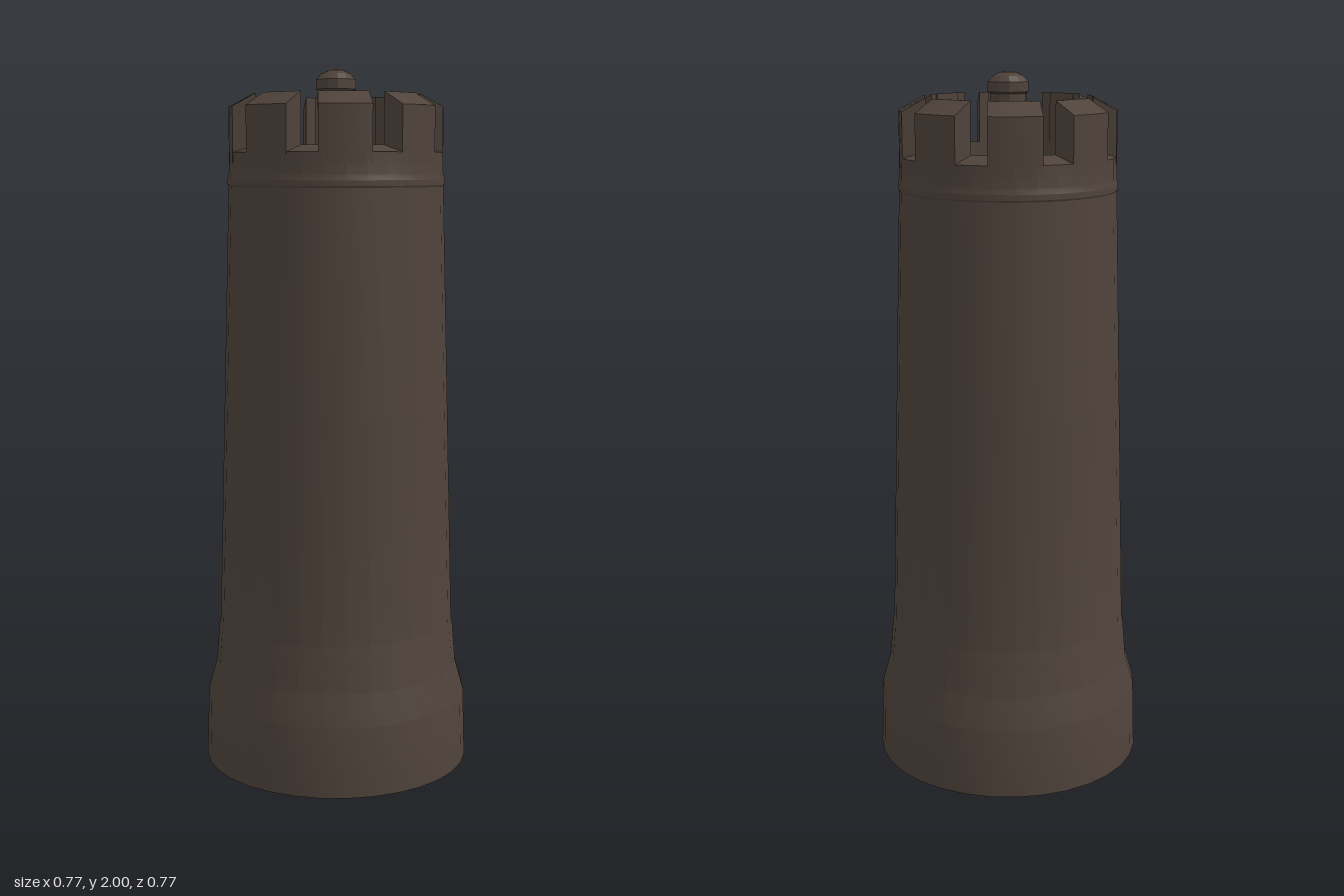
import * as THREE from 'three';
import { toCreasedNormals } from 'three/addons/utils/BufferGeometryUtils.js';

const MERLONS = 8;
const INNER = 0.237, OUTER = 0.303, FLOOR = 1.68;

const v = (x, y) => new THREE.Vector2(x, y);

function lathe(points, segments) {
  const g = new THREE.LatheGeometry(points.map(([r, y]) => v(r, y)), segments);
  return toCreasedNormals(g, 0.25);
}

// One battlement block: curved outer face, inner pilaster, top falling outwards
function merlonGeometry() {
  const shape = new THREE.Shape();
  const half = 0.073, innerHalf = 0.069, tab = 0.042;
  shape.moveTo(-innerHalf, 0.228);
  shape.lineTo(-tab, 0.236);
  shape.lineTo(-tab, 0.23);
  shape.lineTo(tab, 0.23);
  shape.lineTo(tab, 0.236);
  shape.lineTo(innerHalf, 0.228);
  const a = Math.asin(half / OUTER);
  for (let i = 0; i <= 6; i++) {
    const t = a - (2 * a * i) / 6;
    shape.lineTo(OUTER * Math.sin(t), OUTER * Math.cos(t));
  }
  shape.closePath();
  const bottom = 1.74, top = 1.932;
  const g = new THREE.ExtrudeGeometry(shape, { depth: top - bottom, bevelEnabled: false });
  g.rotateX(-Math.PI / 2);
  g.translate(0, bottom, 0);
  const p = g.attributes.position;
  for (let i = 0; i < p.count; i++) {
    if (p.getY(i) < top - 0.01) continue;
    const r = Math.hypot(p.getX(i), p.getZ(i));
    p.setY(i, top - 0.036 * Math.max(0, (r - 0.238) / (OUTER - 0.238)));
  }
  return toCreasedNormals(g, 0.25);
}

export function createModel() {
  const model = new THREE.Group();
  model.name = 'roundTower';
  const stone = new THREE.MeshStandardMaterial({ color: 0x4f433b, side: THREE.DoubleSide });
  stone.name = 'dark stone';

  const add = (name, geometry, parent = model) => {
    const mesh = new THREE.Mesh(geometry, stone);
    mesh.name = name;
    parent.add(mesh);
    return mesh;
  };

  // Hollow tapering shell with a flared plinth, open underneath
  add('towerShell', lathe([
    [0.385, 0], [0.379, 0.2], [0.354, 0.29], [0.345, 0.4], [0.341, 0.42],
    [0.323, 1.05], [0.305, 1.675],
  ], 32));

  // Collar, sloping crenel floor and inner face of the parapet
  add('parapet', lathe([
    [0.305, 1.675], [0.308, 1.68], [0.308, 1.695], [0.304, 1.71],
    [OUTER, 1.77], [INNER, 1.79], [INNER, FLOOR],
  ], 32));

  // Roof floor inside the parapet
  const floor = new THREE.CircleGeometry(INNER, 32);
  floor.rotateX(-Math.PI / 2);
  floor.translate(0, FLOOR, 0);
  add('roofFloor', floor);

  // Ring of battlements
  const battlements = new THREE.Group();
  battlements.name = 'battlements';
  model.add(battlements);
  const block = merlonGeometry();
  const pilaster = new THREE.BoxGeometry(0.084, 0.1, 0.01);
  pilaster.translate(0, 1.73, -0.235);
  for (let i = 0; i < MERLONS; i++) {
    const angle = (i / MERLONS) * Math.PI * 2;
    add('merlon', block, battlements).rotation.y = angle;
    add('pilaster', pilaster, battlements).rotation.y = angle;
  }

  // Central post with a domed cap
  add('centralPost', lathe([
    [0.05, FLOOR], [0.05, 1.94], [0.057, 1.945], [0.057, 1.972],
    [0.042, 1.988], [0.022, 1.997], [0, 2],
  ], 12));

  // Slight twist of the whole masonry ring
  model.rotation.y = 0.033;
  return model;
}
